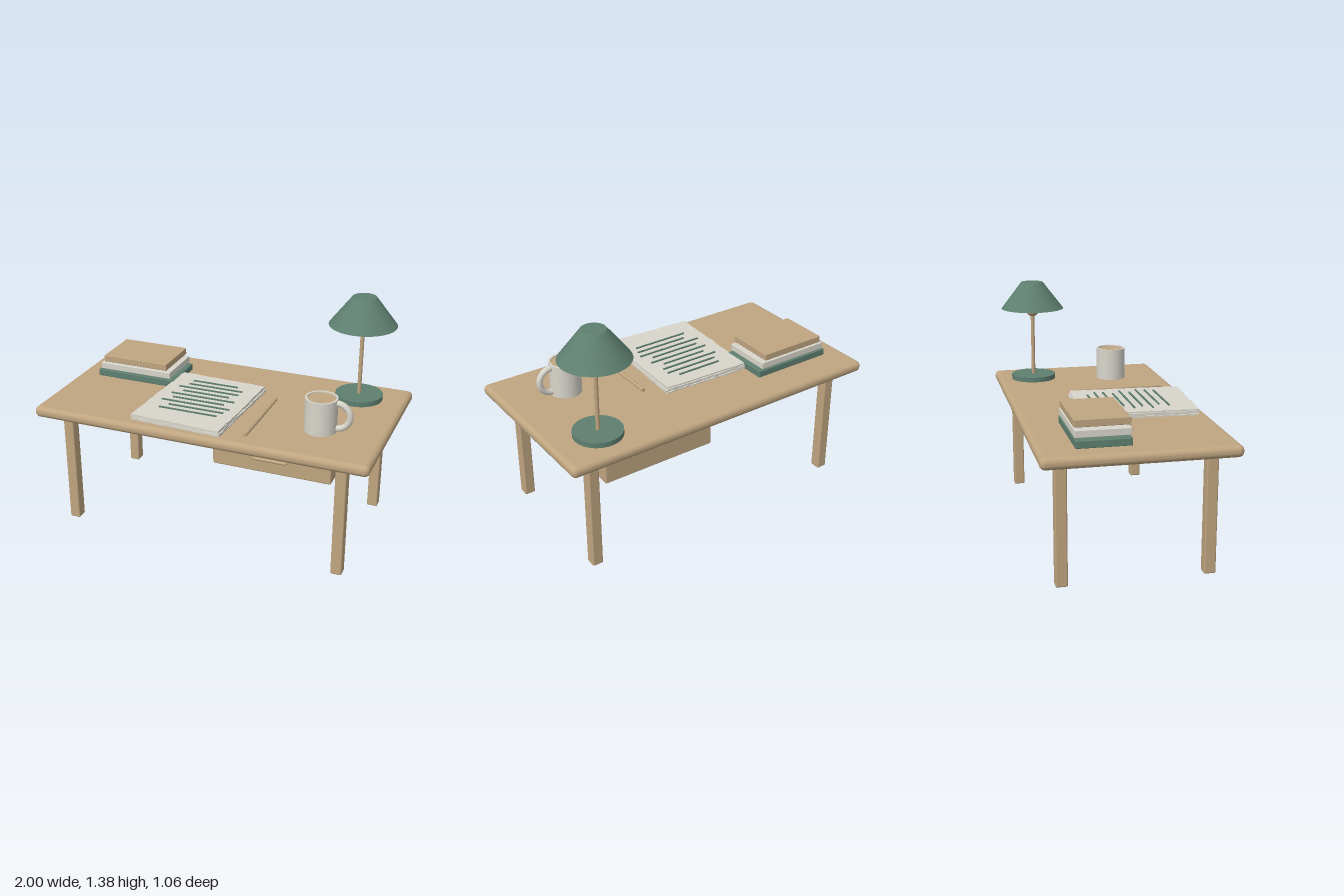
import * as THREE from 'three';
import { RoundedBoxGeometry } from 'three/addons/geometries/RoundedBoxGeometry.js';

const material = (name, color) => {
  const m = new THREE.MeshStandardMaterial({ color });
  m.name = name;
  return m;
};

export function createModel() {
  const wood = material('warm wood', 0xbfa580);
  const green = material('muted green', 0x5e7f70);
  const white = material('off white', 0xd8d5cb);

  const desk = new THREE.Group();
  desk.name = 'writingDesk';

  const add = (name, geometry, mat, x, y, z, parent = desk) => {
    const mesh = new THREE.Mesh(geometry, mat);
    mesh.name = name;
    mesh.position.set(x, y, z);
    parent.add(mesh);
    return mesh;
  };
  const rounded = (w, h, d, r) => new RoundedBoxGeometry(w, h, d, 4, r);
  const group = (name) => {
    const g = new THREE.Group();
    g.name = name;
    desk.add(g);
    return g;
  };

  // Table top and four legs
  const top = 0.756;
  add('tableTop', rounded(2, 0.066, 1.06, 0.03), wood, 0, top - 0.033, 0);
  for (const x of [-0.83, 0.83])
    for (const z of [-0.405, 0.405])
      add('leg', rounded(0.064, 0.7, 0.066, 0.008), wood, x, 0.35, z);

  // Drawer with a slim pull
  add('drawer', rounded(0.7, 0.165, 0.76, 0.008), wood, 0.4, 0.587, -0.04);
  const pull = add('drawerPull', new THREE.CapsuleGeometry(0.01, 0.185, 6, 12), wood, 0.4, 0.597, 0.36);
  pull.rotation.z = Math.PI / 2;
  pull.scale.z = 1.3;

  // Stack of three books, each narrower than the one below
  const books = group('books');
  [[0.505, green], [0.465, white], [0.42, wood]].forEach(([w, mat], i) =>
    add('book', rounded(w, 0.041, 0.3, 0.004), mat, -0.618, 0.776 + i * 0.05, -0.18, books));

  // Ragged sheets of paper
  let seed = 7;
  const random = () => (seed = (seed * 16807) % 2147483647) / 2147483647;
  const sheetGeometry = (w, d, thickness) => {
    const corners = [[-w, -d], [w, -d], [w, d], [-w, d]].map(([x, y]) => new THREE.Vector2(x / 2, y / 2));
    const points = [];
    const steps = 18;
    corners.forEach((a, side) => {
      const b = corners[(side + 1) % 4];
      for (let i = 0; i < steps; i++) {
        const p = a.clone().lerp(b, i / steps);
        p.multiplyScalar(1 - random() * 0.025);
        points.push(p);
      }
    });
    const geometry = new THREE.ExtrudeGeometry(new THREE.Shape(points), { depth: thickness, bevelEnabled: false });
    return geometry.rotateX(-Math.PI / 2);
  };
  const papers = group('papers');
  for (let i = 0; i < 4; i++) {
    const sheet = add('sheet', sheetGeometry(0.55, 0.675, 0.008), white,
      -0.108 + (random() - 0.5) * 0.008, top + 0.001 + i * 0.0095, 0.148 + (random() - 0.5) * 0.01, papers);
    sheet.rotation.y = -0.047 + (random() - 0.5) * 0.012;
  }

  // Ruled strokes on the top sheet: start and end in x
  const strokes = [[-0.25, 0.035], [-0.255, 0.083], [-0.3, 0.078], [-0.25, 0.04], [-0.303, 0.094],
    [-0.27, 0.05], [-0.32, 0.105], [-0.25, 0.088], [-0.287, 0.067]];
  strokes.forEach(([a, b], i) =>
    add('stroke', new THREE.BoxGeometry(b - a, 0.007, 0.009), green,
      (a + b) / 2, 0.797, -0.086 + i * 0.0517, papers));

  // Pencil
  const pencil = add('pencil', new THREE.CylinderGeometry(0.011, 0.011, 0.51, 12), wood, 0.28, 0.768, 0.178);
  pencil.rotation.x = Math.PI / 2;

  // Mug with a filled cup and half-ring handle
  const mug = group('mug');
  mug.position.set(0.635, top, 0.19);
  const profile = [[0, 0], [0.092, 0], [0.092, 0], [0.092, 0.197], [0.092, 0.197],
    [0.08, 0.197], [0.08, 0.197], [0.08, 0.17]].map(([r, y]) => new THREE.Vector2(r, y));
  add('cup', new THREE.LatheGeometry(profile, 40), white, 0, 0, 0, mug);
  const drink = add('drink', new THREE.CircleGeometry(0.081, 40), wood, 0, 0.19, 0, mug);
  drink.rotation.x = -Math.PI / 2;
  const handle = add('mugHandle', new THREE.TorusGeometry(0.075, 0.018, 12, 28, Math.PI), white, 0.09, 0.1, 0, mug);
  handle.rotation.z = -Math.PI / 2;

  // Lamp
  const lamp = group('lamp');
  lamp.position.set(0.72, 0, -0.307);
  add('lampBase', new THREE.CylinderGeometry(0.14, 0.14, 0.03, 40), green, 0, top + 0.016, 0, lamp);
  add('lampPole', new THREE.CylinderGeometry(0.012, 0.012, 0.42, 16), wood, 0, 0.985, 0, lamp);
  add('lampBulb', new THREE.SphereGeometry(0.042, 24, 16), wood, 0, 1.205, 0, lamp);
  add('lampShade', new THREE.CylinderGeometry(0.069, 0.198, 0.168, 40), green, 0, 1.3, 0, lamp);

  return desk;
}
